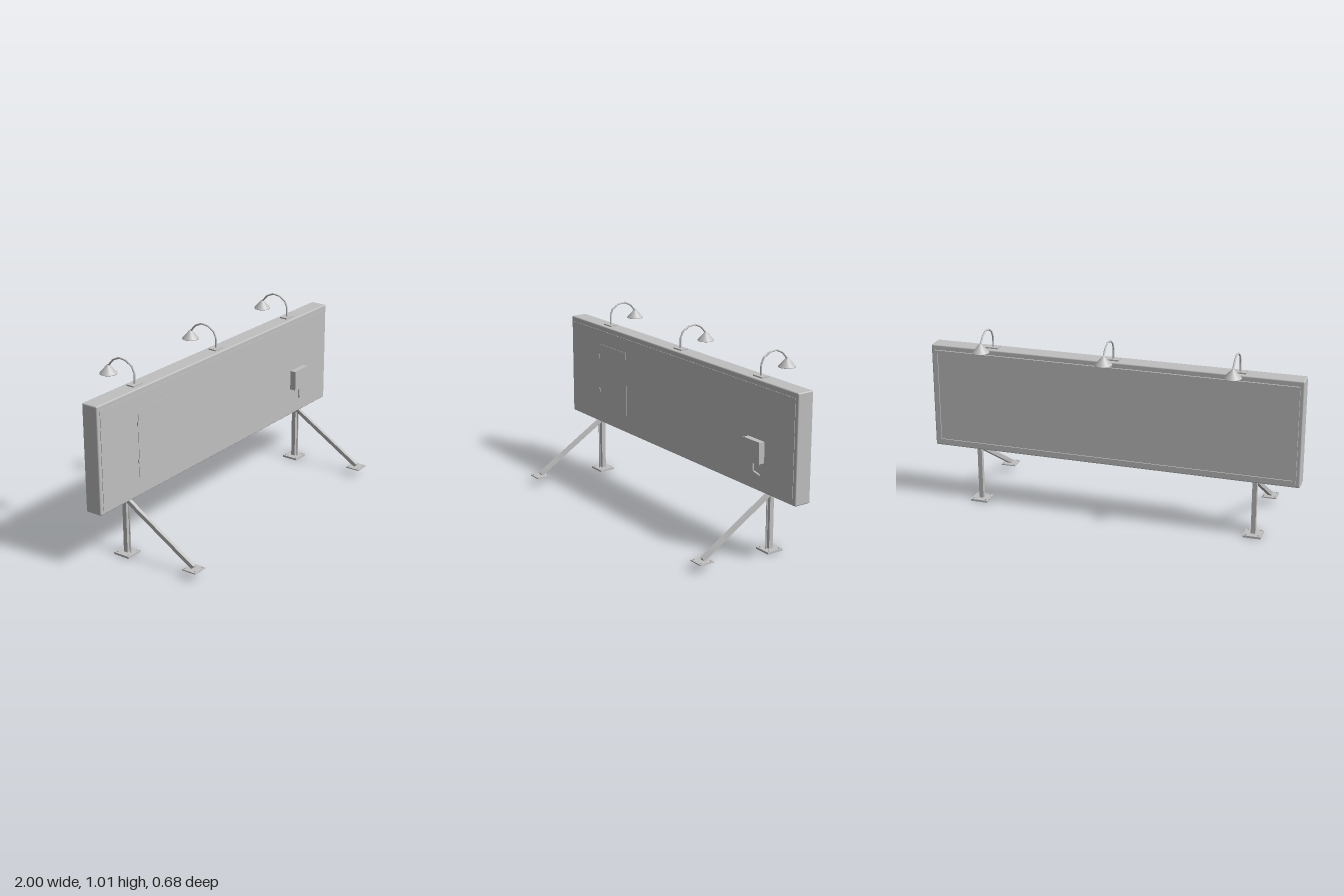
import * as THREE from 'three';
import { RoundedBoxGeometry } from 'three/addons/geometries/RoundedBoxGeometry.js';

export function createModel() {
  const root = new THREE.Group();
  root.name = 'billboard';
  const grey = new THREE.MeshStandardMaterial({ color: 0xc0c0c0, side: THREE.DoubleSide });
  grey.name = 'grey metal';

  const add = (parent, name, geometry, x = 0, y = 0, z = 0) => {
    const mesh = new THREE.Mesh(geometry, grey);
    mesh.name = name;
    mesh.position.set(x, y, z);
    parent.add(mesh);
    return mesh;
  };
  // Box given by its limits on each axis
  const box = (parent, name, x0, x1, y0, y1, z0, z1) =>
    add(parent, name, new THREE.BoxGeometry(x1 - x0, y1 - y0, z1 - z0),
      (x0 + x1) / 2, (y0 + y1) / 2, (z0 + z1) / 2);
  // Chain of straight pipe segments
  const pipe = (parent, name, points, radius, sides = 8) => {
    const path = new THREE.CurvePath();
    const p = points.map((a) => new THREE.Vector3(...a));
    for (let i = 1; i < p.length; i++) path.add(new THREE.LineCurve3(p[i - 1], p[i]));
    return add(parent, name, new THREE.TubeGeometry(path, (p.length - 1) * 4, radius, sides), 0, 0, 0);
  };

  // Cabinet and its front cover
  add(root, 'cabinet', new RoundedBoxGeometry(2, 0.571, 0.094, 2, 0.007), 0, 0.5995, -0.127);
  box(root, 'frontCover', -0.98, 0.98, 0.337, 0.857, -0.081, -0.0775);

  // Raised frame around the display face
  const rect = (x, y) => [[-x, -y], [x, -y], [x, y], [-x, y]].map((a) => new THREE.Vector2(...a));
  const frameShape = new THREE.Shape(rect(0.98, 0.26));
  frameShape.holes.push(new THREE.Path(rect(0.964, 0.244).reverse()));
  add(root, 'displayFrame',
    new THREE.ExtrudeGeometry(frameShape, { depth: 0.01, bevelEnabled: false }), 0, 0.597, -0.183);
  box(root, 'displayFace', -0.964, 0.964, 0.353, 0.841, -0.177, -0.173);

  // Access door with two hinges
  box(root, 'accessDoor', -0.705, -0.44, 0.417, 0.777, -0.079, -0.0755);
  for (const y of [0.505, 0.705]) {
    box(root, 'doorHinge', -0.713, -0.699, y - 0.011, y + 0.011, -0.08, -0.071);
  }

  // Electrical box with lid and conduit
  box(root, 'electricalBox', 0.637, 0.763, 0.472, 0.583, -0.08, -0.045);
  box(root, 'electricalBoxLid', 0.634, 0.766, 0.469, 0.586, -0.046, -0.041);
  pipe(root, 'electricalConduit',
    [[0.7, 0.475, -0.058], [0.7, 0.42, -0.058], [0.73, 0.397, -0.08]], 0.005);

  // Plate with a bolt near each corner
  const boltGeometry = new THREE.CylinderGeometry(0.004, 0.004, 0.006, 6);
  const basePlate = (parent, name, x, y, z, size, height) => {
    const h = size / 2;
    box(parent, name, x - h, x + h, y, y + height, z - h, z + h);
    for (const sx of [-1, 1]) for (const sz of [-1, 1]) {
      add(parent, 'bolt', boltGeometry, x + sx * h * 0.72, y + height + 0.002, z + sz * h * 0.72);
    }
  };

  // Posts, diagonal braces and feet
  for (const side of [-1, 1]) {
    const leg = new THREE.Group();
    leg.name = side < 0 ? 'rightSupport' : 'leftSupport';
    root.add(leg);
    const x = side * 0.762;
    box(leg, 'post', x - 0.012, x + 0.012, 0.01, 0.32, -0.138, -0.114);
    basePlate(leg, 'postBase', x, 0.001, -0.126, 0.094, 0.011);
    pipe(leg, 'groundRod', [[x, 0.012, -0.104], [x, 0.32, -0.104]], 0.004);

    const a = new THREE.Vector3(x, 0.053, 0.3), b = new THREE.Vector3(x, 0.306, -0.115);
    const brace = add(leg, 'brace', new THREE.BoxGeometry(0.02, 0.022, a.distanceTo(b)));
    brace.position.copy(a).add(b).multiplyScalar(0.5);
    brace.lookAt(b);
    basePlate(leg, 'braceFoot', x, 0.042, 0.3, 0.082, 0.006);
  }

  // Gooseneck lamps reaching over the display side
  const shadeProfile = [[0.004, 0.957], [0.01, 0.951], [0.045, 0.912], [0.045, 0.909],
    [0.042, 0.91], [0.008, 0.945], [0, 0.946]].map((p) => new THREE.Vector2(...p));
  for (const x of [-0.665, 0, 0.665]) {
    const lamp = new THREE.Group();
    lamp.name = 'lamp';
    lamp.position.x = x;
    root.add(lamp);
    box(lamp, 'lampBase', -0.034, 0.034, 0.884, 0.892, -0.15, -0.105);
    pipe(lamp, 'lampArm', [[0, 0.888, -0.127], [0, 0.945, -0.127], [0, 0.978, -0.142],
      [0, 1.001, -0.18], [0, 1.006, -0.222], [0, 0.988, -0.262], [0, 0.95, -0.295]], 0.0048);
    add(lamp, 'lampShade', new THREE.LatheGeometry(shadeProfile, 20), 0, 0, -0.295);
    add(lamp, 'bulb', new THREE.SphereGeometry(0.011, 12, 8), 0, 0.916, -0.295);
    add(lamp, 'bulbSocket', new THREE.CylinderGeometry(0.007, 0.007, 0.03, 10), 0, 0.934, -0.295);
  }
  return root;
}
